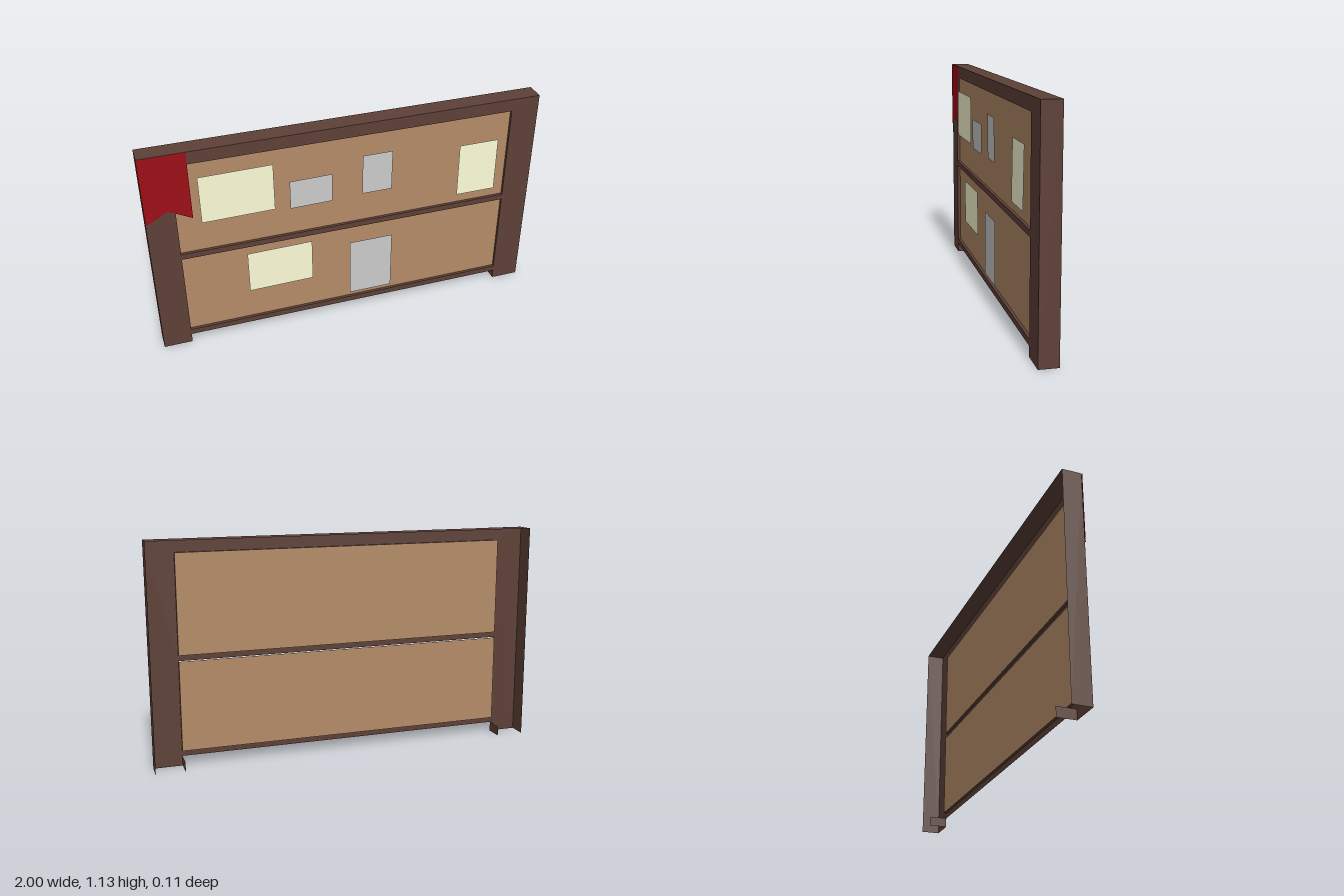
import * as THREE from 'three';

const H = 1.13, LEG = 0.855, RAIL = 0.05; // height, inner leg edge, underside of bottom rail
const FRONT = 0.04, BACK = -0.055, BOARD_Z = 0.025;

const mat = (color) => new THREE.MeshStandardMaterial({ color, side: THREE.DoubleSide });
const wood = mat(0x5d4037), cork = mat(0xb48b67), cream = mat(0xfdfdd8),
  grey = mat(0xcccccc), red = mat(0x9d0e17);

function add(group, name, geometry, material) {
  const mesh = new THREE.Mesh(geometry, material);
  mesh.name = name;
  group.add(mesh);
  return mesh;
}

const outline = (points) => points.map(([x, y]) => new THREE.Vector2(x, y));

// thin upright sheet facing sideways, spanning y0..y1 and z0..z1
function sideWall(group, name, x, y0, y1, z0, z1) {
  const m = add(group, name, new THREE.PlaneGeometry(z1 - z0, y1 - y0), wood);
  m.rotation.y = Math.sign(x) * Math.PI / 2;
  m.position.set(x, (y0 + y1) / 2, (z0 + z1) / 2);
}

// thin level sheet spanning x = -w..w
function levelWall(group, name, y, w, z0, z1) {
  const m = add(group, name, new THREE.PlaneGeometry(2 * w, z1 - z0), wood);
  m.rotation.x = -Math.PI / 2;
  m.position.set(0, y, (z0 + z1) / 2);
}

export function createModel() {
  const model = new THREE.Group();
  model.name = 'noticeBoard';

  // Front face of the frame with two openings and a leg at each end
  const openings = [
    { name: 'lower', y0: 0.08, y1: 0.535, topLip: false },
    { name: 'upper', y0: 0.565, y1: 1.065, topLip: true },
  ];
  const face = new THREE.Shape(outline([
    [-1, 0], [-LEG, 0], [-LEG, RAIL], [LEG, RAIL], [LEG, 0], [1, 0], [1, H], [-1, H],
  ]));
  for (const { y0, y1 } of openings) {
    face.holes.push(new THREE.Path(outline([[-LEG, y0], [-LEG, y1], [LEG, y1], [LEG, y0]])));
  }
  add(model, 'frameFront', new THREE.ShapeGeometry(face), wood).position.z = FRONT;

  // Open-backed shell: top, outer sides and inner leg sides
  levelWall(model, 'frameTop', H, 1, BACK, FRONT);
  for (const s of [-1, 1]) {
    sideWall(model, 'frameSide', s, 0, H, BACK, FRONT);
    sideWall(model, 'legInnerSide', s * LEG, 0, RAIL, BACK, FRONT);
  }

  // Recessed boards with their lips
  for (const { name, y0, y1, topLip } of openings) {
    const panel = add(model, name + 'Board', new THREE.PlaneGeometry(2 * LEG, y1 - y0), cork);
    panel.position.set(0, (y0 + y1) / 2, BOARD_Z);
    levelWall(model, name + 'BottomLip', y0, LEG, BOARD_Z, FRONT);
    if (topLip) levelWall(model, name + 'TopLip', y1, LEG, BOARD_Z, FRONT);
    for (const s of [-1, 1]) sideWall(model, name + 'SideLip', s * LEG, y0, y1, BOARD_Z, FRONT);
  }

  // Pinned papers: x0, x1, y0, y1, material, pitch, yaw
  const papers = [
    [-0.74, -0.38, 0.74, 0.995, cream, 0, 0.015],
    [-0.305, -0.09, 0.73, 0.885, grey, 0, 0.02],
    [0.065, 0.22, 0.74, 0.96, grey, 0.012, 0],
    [0.58, 0.79, 0.63, 0.92, cream, -0.015, 0],
    [-0.535, -0.2, 0.27, 0.505, cream, 0, 0.015],
    [0, 0.23, 0.12, 0.45, grey, 0, 0],
  ];
  for (const [x0, x1, y0, y1, material, pitch, yaw] of papers) {
    const paper = add(model, 'paper', new THREE.PlaneGeometry(x1 - x0, y1 - y0), material);
    paper.position.set((x0 + x1) / 2, (y0 + y1) / 2, 0.053);
    paper.rotation.set(pitch, yaw, 0);
  }

  // Swallow-tailed banner on the corner
  const banner = new THREE.Shape(outline([
    [-1, H], [-1, 0.77], [-0.888, 0.83], [-0.777, 0.77], [-0.777, H],
  ]));
  add(model, 'banner', new THREE.ShapeGeometry(banner), red).position.z = FRONT + 0.004;

  return model;
}
